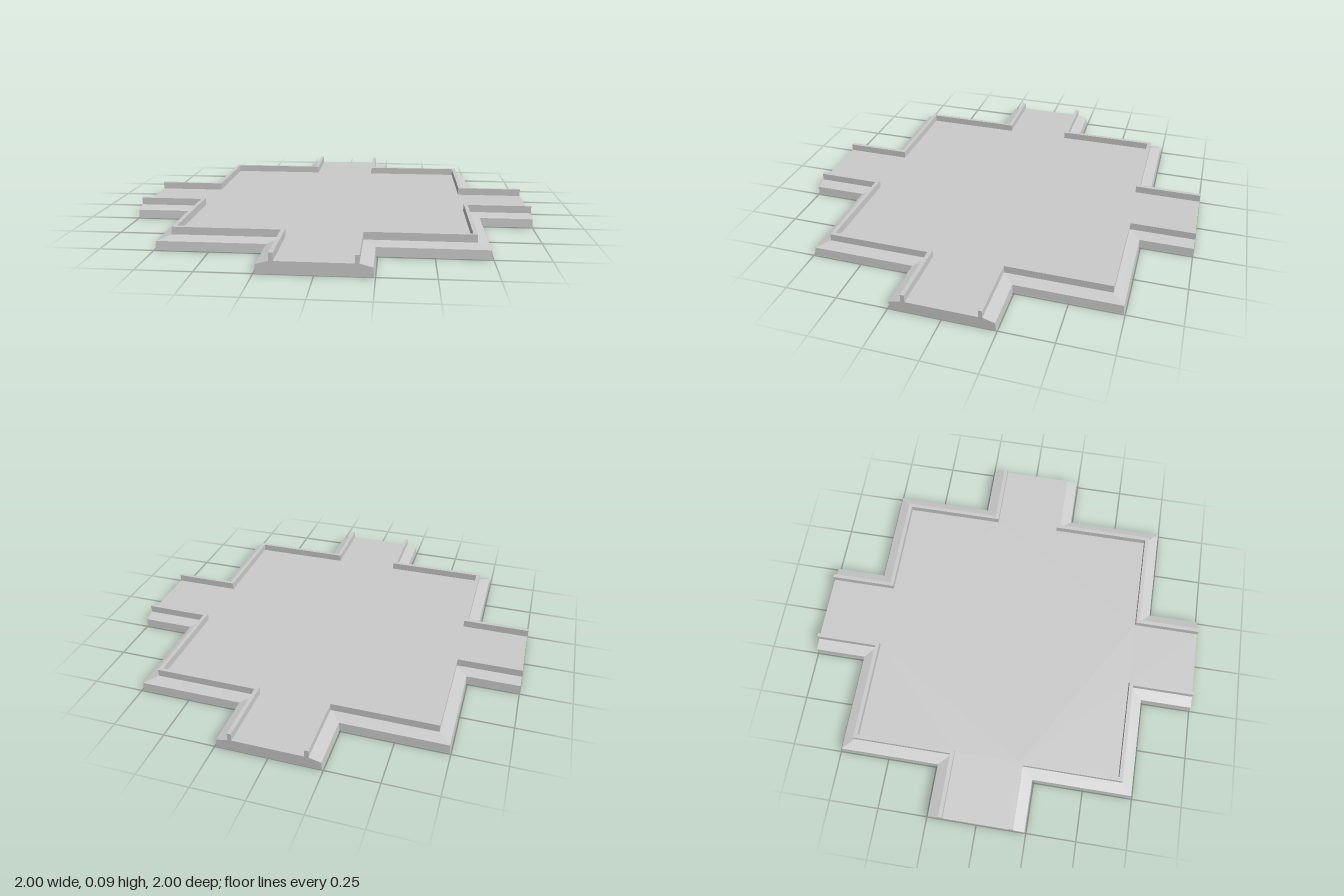
import * as THREE from 'three';

const material = new THREE.MeshStandardMaterial({ color: 0xcccccc, flatShading: true, side: THREE.DoubleSide });

// Edge profile from the ground up: [half-width of an arm, height]
const SKIRT = [[0.244, 0], [0.241, 0.042], [0.185, 0.057]];
const CURB = [[0.185, 0.057], [0.185, 0.093], [0.166, 0.093], [0.166, 0.057]];
const BODY = 0.5; // the square body is this much wider than an arm

// One quarter of the cross-shaped outline, as [x, z]
const quarter = (a) => [[a, 1], [a, a + BODY], [a + BODY, a + BODY], [a + BODY, a], [1, a]];

// Sweeps a profile along a quarter outline with mitred corners
function sweep(profile) {
  const pos = [];
  for (let j = 0; j < profile.length - 1; j++) {
    const [low, high] = [profile[j], profile[j + 1]].map(([a, y]) => quarter(a).map(([x, z]) => [x, y, z]));
    for (let i = 0; i < low.length - 1; i++) {
      pos.push(...low[i], ...low[i + 1], ...high[i + 1], ...low[i], ...high[i + 1], ...high[i]);
    }
  }
  const geometry = new THREE.BufferGeometry();
  geometry.setAttribute('position', new THREE.Float32BufferAttribute(pos, 3));
  geometry.computeVertexNormals();
  return geometry;
}

// Flat cross-shaped floor inside the curbs
function floorGeometry() {
  const points = [];
  for (let k = 0; k < 4; k++) {
    for (const [x, z] of quarter(0.166)) {
      points.push(new THREE.Vector2(x, -z).rotateAround(new THREE.Vector2(), k * Math.PI / 2));
    }
  }
  return new THREE.ShapeGeometry(new THREE.Shape(points)).rotateX(-Math.PI / 2).translate(0, 0.057, 0);
}

// Closing face of an arm, the full edge profile mirrored
function endGeometry() {
  const half = [...SKIRT, ...CURB.slice(1)];
  const points = [...half, ...half.map(([x, y]) => [-x, y]).reverse()];
  return new THREE.ShapeGeometry(new THREE.Shape(points.map((p) => new THREE.Vector2(...p)))).translate(0, 0, 1);
}

export function createModel() {
  const model = new THREE.Group();
  model.name = 'crossPlatform';
  const add = (name, geometry, turn = 0) => {
    const mesh = new THREE.Mesh(geometry, material);
    mesh.name = name;
    mesh.rotation.y = turn;
    model.add(mesh);
  };

  add('floor', floorGeometry());

  // Skirt, curb and arm end repeat on each quarter turn
  const skirt = sweep(SKIRT), curb = sweep(CURB), end = endGeometry();
  for (let k = 0; k < 4; k++) {
    const turn = k * Math.PI / 2;
    add('slopedSkirt', skirt, turn);
    add('curb', curb, turn);
    add('armEnd', end, turn);
  }
  return model;
}
